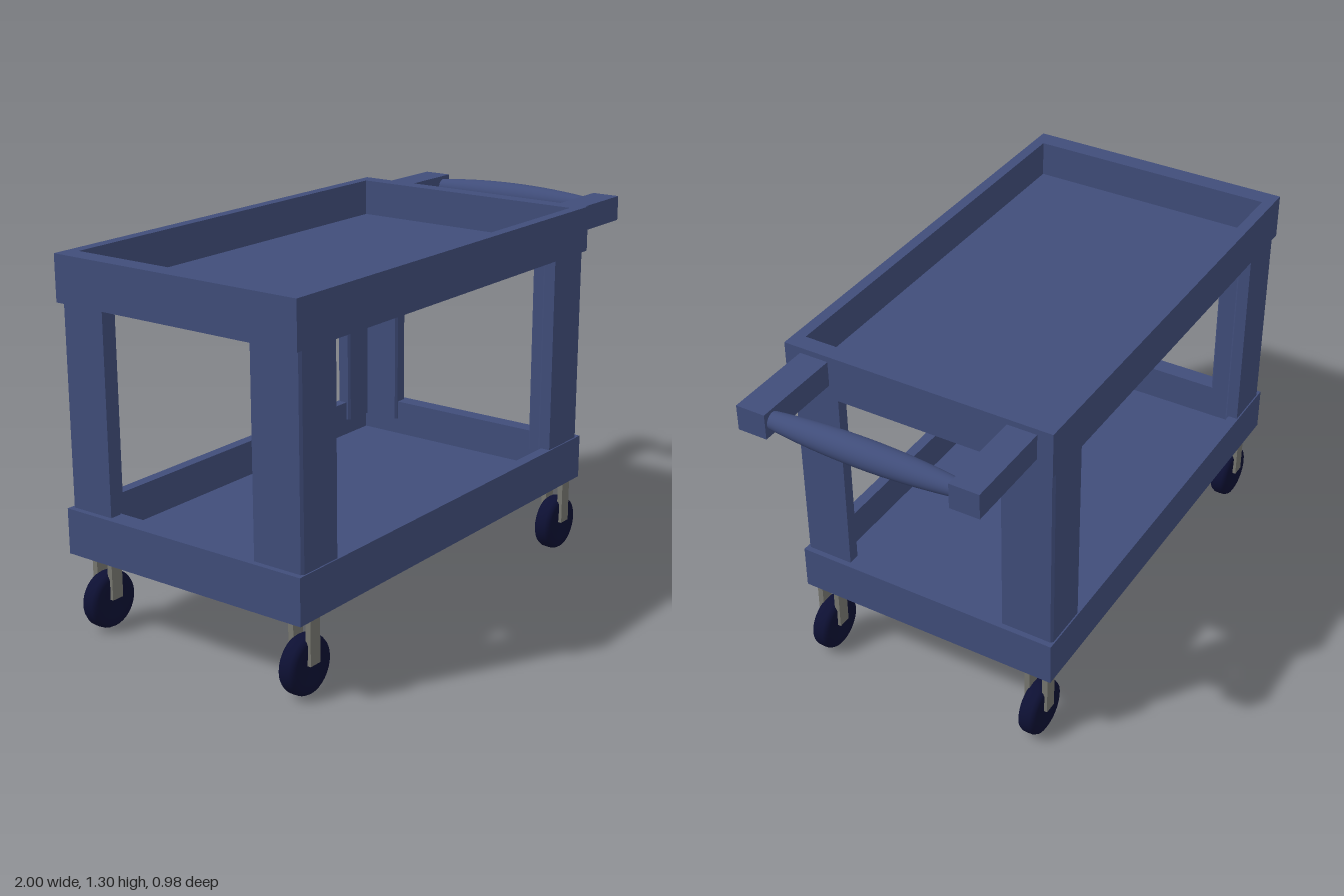
import * as THREE from 'three';

const blue = new THREE.MeshStandardMaterial({ color: 0x404d7a });
const rubber = new THREE.MeshStandardMaterial({ color: 0x0d1033 });
const steel = new THREE.MeshStandardMaterial({ color: 0x777770 });

function add(parent, name, geometry, material) {
  const mesh = new THREE.Mesh(geometry, material);
  mesh.name = name;
  parent.add(mesh);
  return mesh;
}

// Box given by its lowest and highest corners
function box(parent, name, a, b, material) {
  const mesh = add(parent, name, new THREE.BoxGeometry(b[0] - a[0], b[1] - a[1], b[2] - a[2]), material);
  mesh.position.set((a[0] + b[0]) / 2, (a[1] + b[1]) / 2, (a[2] + b[2]) / 2);
  return mesh;
}

function polygon(points, Type = THREE.Shape) {
  return new Type(points.map(([x, y]) => new THREE.Vector2(x, y)));
}

// Upright extrusion of a plan shape whose y stands for -z
function upright(shape, y0, y1) {
  const g = new THREE.ExtrudeGeometry(shape, { depth: y1 - y0, bevelEnabled: false });
  return g.rotateX(-Math.PI / 2).translate(0, y0, 0);
}

// Shallow tray: raised rim around a thin floor
function tray(parent, name, y) {
  const group = new THREE.Group();
  group.name = name;
  const rim = polygon([[-1, -0.49], [0.66, -0.49], [0.66, 0.49], [-1, 0.49]]);
  rim.holes.push(polygon([[-0.93, -0.45], [-0.93, 0.45], [0.6, 0.45], [0.6, -0.45]], THREE.Path));
  add(group, 'rim', upright(rim, y, y + 0.16), blue);
  box(group, 'floor', [-0.94, y, -0.46], [0.61, y + 0.03, 0.46], blue);
  parent.add(group);
}

// Angle-section leg; sx and sz point from the outer corner outwards
function leg(parent, sx, sz) {
  const t = 0.05, c = 0.008;
  const [w, d] = sx * sz < 0 ? [0.17, 0.19] : [0.19, 0.175];
  const cx = sx > 0 ? 0.64 : -0.98, cz = sz * 0.485;
  let pts = [[c, 0], [w, 0], [w, t - c], [w - c, t], [t, t], [t, d - c], [t - c, d], [0, d], [0, c]]
    .map(([u, v]) => [cx - sx * u, -(cz - sz * v)]);
  add(parent, 'leg', upright(polygon(pts), 0.37, 1.155), blue);
}

// Wheel with rounded tyre between two fork plates
function caster(parent, x, z) {
  const group = new THREE.Group();
  group.name = 'caster';
  const profile = [[0, -0.03], [0.06, -0.033], [0.082, -0.033], [0.093, -0.028], [0.099, -0.017], [0.1, 0],
    [0.099, 0.017], [0.093, 0.028], [0.082, 0.033], [0.06, 0.033], [0, 0.03]];
  const wheel = add(group, 'wheel', new THREE.LatheGeometry(profile.map(p => new THREE.Vector2(...p)), 32), rubber);
  wheel.rotation.x = Math.PI / 2;
  wheel.position.y = 0.1;
  for (const s of [-1, 1]) {
    const plate = box(group, 'forkPlate', [-0.024, 0.11, -0.01], [0.024, 0.285, 0.01], steel);
    plate.position.z = s * 0.034;
  }
  group.position.set(x, 0, z);
  parent.add(group);
}

export function createModel() {
  const cart = new THREE.Group();
  cart.name = 'utilityCart';

  tray(cart, 'lowerTray', 0.28);
  tray(cart, 'upperTray', 1.14);

  for (const sx of [-1, 1]) {
    for (const sz of [-1, 1]) {
      leg(cart, sx, sz);
      caster(cart, sx > 0 ? 0.612 : -0.898, sz * 0.422);
    }
  }

  // Push handle: two arms and a swelling grip
  const handle = new THREE.Group();
  handle.name = 'handle';
  cart.add(handle);
  box(handle, 'handleArm', [0.65, 1.19, 0.325], [0.99, 1.28, 0.43], blue);
  box(handle, 'handleArm', [0.65, 1.19, -0.435], [0.99, 1.28, -0.33], blue);
  const grip = [];
  for (let i = 0; i <= 16; i++) {
    const u = i / 8 - 1;
    grip.push(new THREE.Vector2(0.048 - 0.019 * u * u, u * 0.335));
  }
  const bar = add(handle, 'grip', new THREE.LatheGeometry(grip, 32), blue);
  bar.rotation.x = Math.PI / 2;
  bar.position.set(0.95, 1.238, 0);

  return cart;
}
